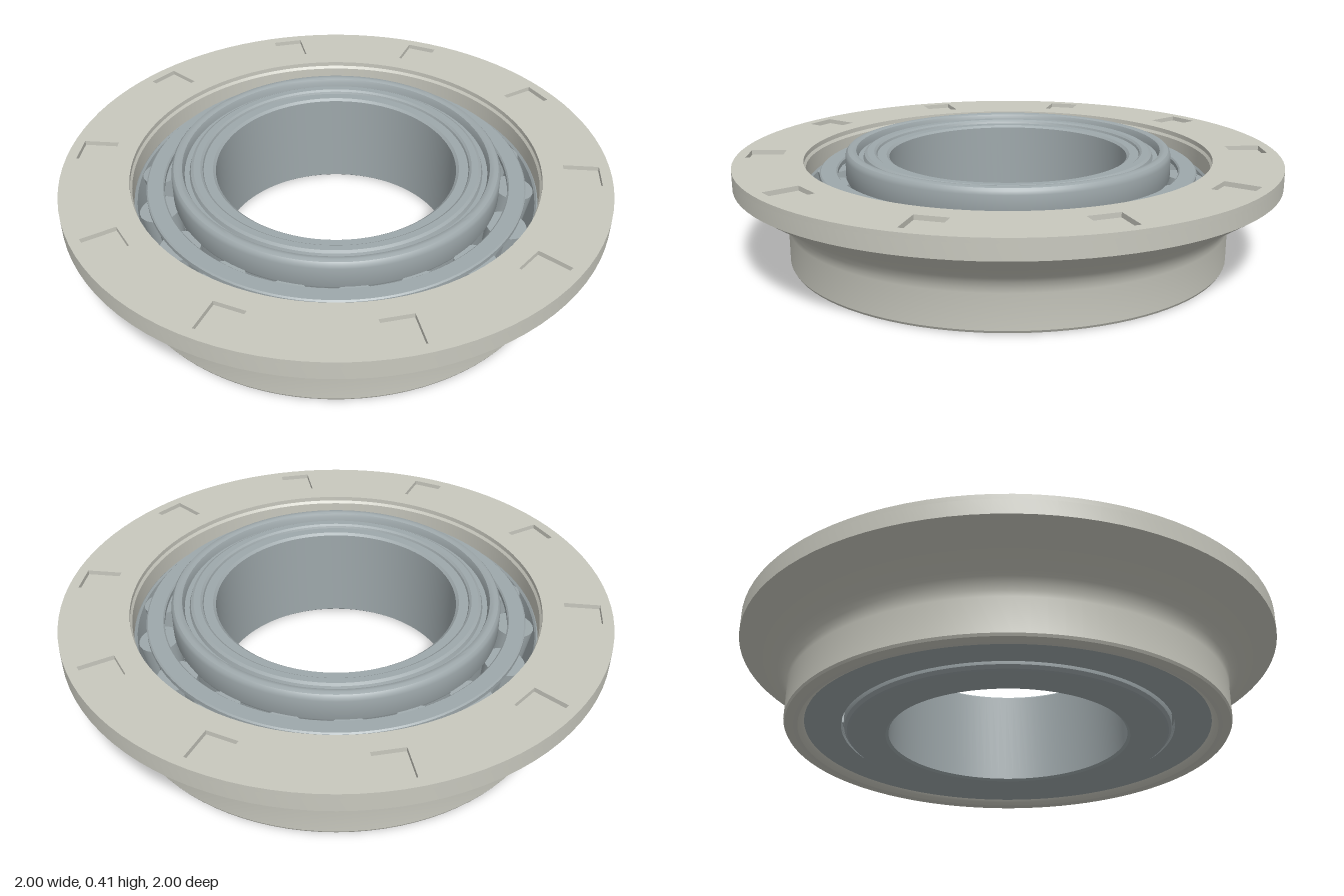
import * as THREE from 'three';
import { toCreasedNormals } from 'three/addons/utils/BufferGeometryUtils.js';

const SEGMENTS = 96;
const housingMat = new THREE.MeshStandardMaterial({ color: 0xc8c8be });
const steelMat = new THREE.MeshStandardMaterial({ color: 0x9ea8ab });

// Closed ring turned from [radius, height] points: up the outside, down the inside
function ring(name, points, material) {
  const profile = [...points, points[0]].map(([r, y]) => new THREE.Vector2(r, y));
  const geometry = toCreasedNormals(new THREE.LatheGeometry(profile, SEGMENTS), 0.5);
  const mesh = new THREE.Mesh(geometry, material);
  mesh.name = name;
  return mesh;
}

// Top layer of the flange with ten shallow pockets cut through it
function flangeTop(bottom, top) {
  const shape = new THREE.Shape().absarc(0, 0, 1, 0, Math.PI * 2, false);
  shape.holes.push(new THREE.Path().absarc(0, 0, 0.75, 0, Math.PI * 2, true));
  for (let i = 0; i < 10; i++) {
    const angle = -THREE.MathUtils.degToRad(10.8 + 36 * i);
    const corners = [[0.83, -0.058], [0.83, 0.058], [0.96, 0.058], [0.96, -0.058]];
    shape.holes.push(new THREE.Path(corners.map(([x, y]) =>
      new THREE.Vector2(x, y).rotateAround(new THREE.Vector2(), angle))));
  }
  const geometry = new THREE.ExtrudeGeometry(shape, {
    depth: top - bottom, bevelEnabled: false, curveSegments: SEGMENTS / 2,
  });
  geometry.rotateX(-Math.PI / 2).translate(0, bottom, 0);
  const mesh = new THREE.Mesh(toCreasedNormals(geometry, 0.5), housingMat);
  mesh.name = 'pocketedFlangeTop';
  return mesh;
}

export function createModel() {
  const model = new THREE.Group();
  model.name = 'flangedRollerBearing';

  // Housing: sleeve, flared neck and flange
  model.add(ring('housing', [
    [0.765, 0], [0.8, 0], [0.81, 0.003], [0.815, 0.012],
    [0.815, 0.135], [0.819, 0.155], [0.828, 0.175], [0.84, 0.193], [0.858, 0.208],
    [1, 0.305], [1, 0.358], [0.75, 0.358], [0.743, 0.348], [0.743, 0.02], [0.75, 0.01],
  ], housingMat));
  model.add(flangeTop(0.358, 0.375));

  // Outer race with a tapered track
  model.add(ring('outerRace', [
    [0.69, 0.02], [0.745, 0.02], [0.745, 0.28], [0.738, 0.287], [0.732, 0.28], [0.685, 0.03],
  ], steelMat));

  // Bottom cover closing the space between the races
  model.add(ring('bottomCover', [
    [0.612, 0.02], [0.742, 0.02], [0.742, 0.035], [0.612, 0.035],
  ], steelMat));

  // Inner race: bottom rib, tapered track, top rib and bore lip
  model.add(ring('innerRace', [
    [0.45, 0], [0.575, 0], [0.59, 0.004], [0.6, 0.015], [0.603, 0.03], [0.603, 0.055],
    [0.56, 0.06], [0.585, 0.29], [0.595, 0.295],
    [0.6, 0.305], [0.6, 0.38], [0.597, 0.393], [0.59, 0.401], [0.578, 0.405],
    [0.568, 0.404], [0.56, 0.4], [0.556, 0.39], [0.553, 0.372],
    [0.535, 0.372], [0.53, 0.386], [0.52, 0.392], [0.495, 0.392],
    [0.487, 0.386], [0.484, 0.378], [0.45, 0.378], [0.44, 0.37], [0.44, 0.008],
  ], steelMat));

  // Cage: upper and lower rings
  model.add(ring('cageTopRing', [
    [0.635, 0.305], [0.69, 0.305], [0.695, 0.31], [0.695, 0.325],
    [0.69, 0.33], [0.635, 0.33], [0.63, 0.325], [0.63, 0.31],
  ], steelMat));
  model.add(ring('cageBottomRing', [
    [0.612, 0.036], [0.66, 0.036], [0.66, 0.055], [0.612, 0.055],
  ], steelMat));

  // Tapered rollers with cage bars between them
  const rollerGeo = toCreasedNormals(new THREE.CylinderGeometry(0.073, 0.058, 0.235, 24), 0.6);
  const barGeo = new THREE.BoxGeometry(0.03, 0.27, 0.055);
  for (let i = 0; i < 18; i++) {
    const station = new THREE.Group();
    station.name = 'rollerStation';
    station.rotation.y = -THREE.MathUtils.degToRad(10 + 20 * i);
    const roller = new THREE.Mesh(rollerGeo, steelMat);
    roller.name = 'roller';
    roller.position.set(0.64, 0.18, 0);
    roller.rotation.z = -0.13;
    station.add(roller);

    const barPivot = new THREE.Group();
    barPivot.name = 'cageBarPivot';
    barPivot.rotation.y = THREE.MathUtils.degToRad(10);
    const bar = new THREE.Mesh(barGeo, steelMat);
    bar.name = 'cageBar';
    bar.position.set(0.652, 0.18, 0);
    bar.rotation.z = -0.13;
    barPivot.add(bar);
    station.add(barPivot);
    model.add(station);
  }
  return model;
}
